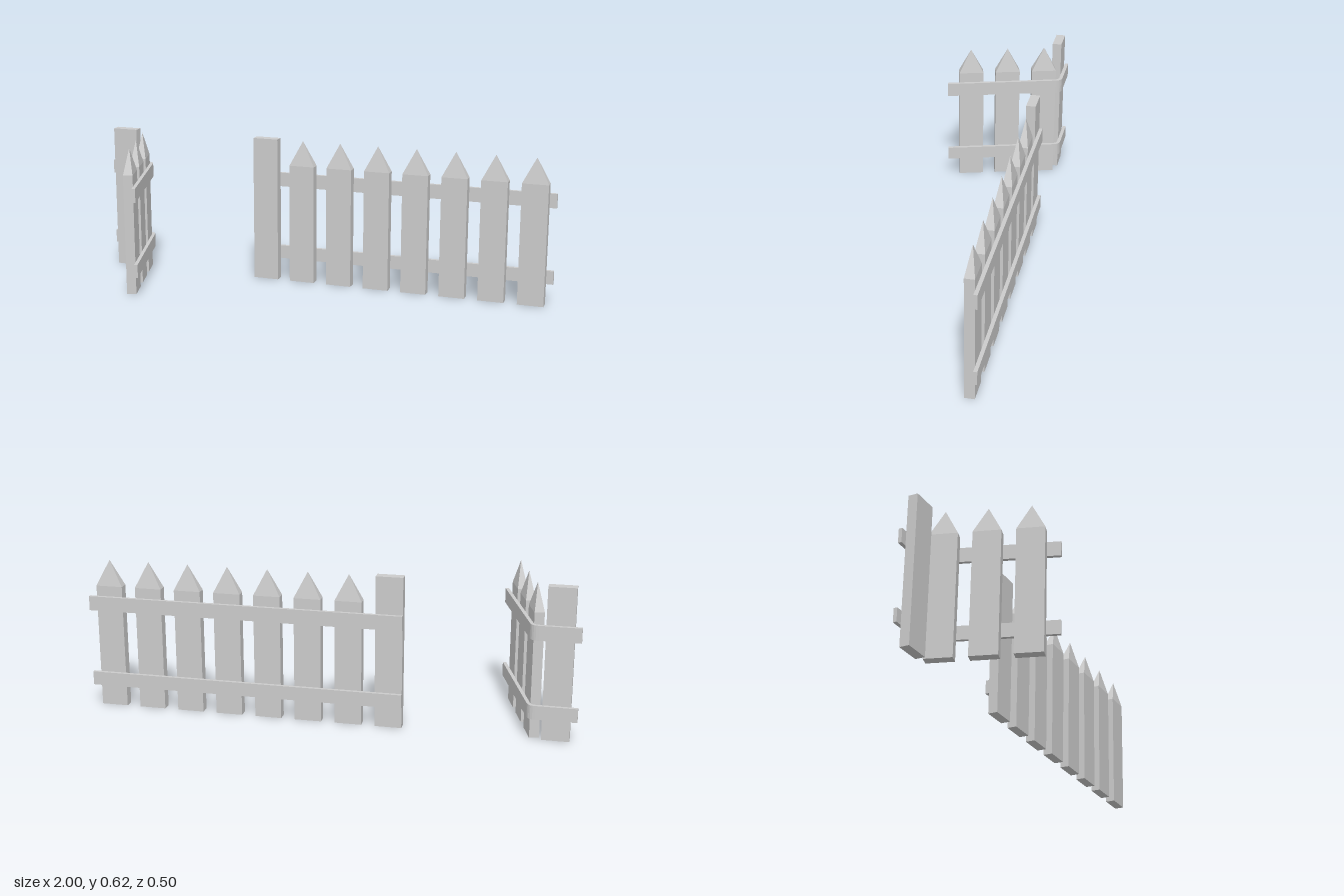
import * as THREE from 'three';
import { mergeGeometries } from 'three/addons/utils/BufferGeometryUtils.js';

const WIDTH = 0.11, DEPTH = 0.04, SHOULDER = 0.515, TIP = 0.622;
const POST_HEIGHT = 0.625, FENCE_Z = -0.215;
const RAILS = [[0.088, 0.145], [0.412, 0.472]]; // bottom and top of each rail

// Flat board with a four-sided pointed top, standing on y = 0
function picketGeometry() {
  const board = new THREE.BoxGeometry(WIDTH, SHOULDER, DEPTH);
  board.translate(0, SHOULDER / 2, 0);
  const point = new THREE.ConeGeometry(Math.SQRT1_2, TIP - SHOULDER, 4, 1, true);
  point.rotateY(Math.PI / 4);
  point.scale(WIDTH, 1, DEPTH);
  point.translate(0, (SHOULDER + TIP) / 2, 0);
  const geometry = mergeGeometries([board.toNonIndexed(), point.toNonIndexed()]);
  geometry.computeVertexNormals();
  return geometry;
}

export function createModel() {
  const material = new THREE.MeshStandardMaterial({ color: 0xcccccc, flatShading: true });
  const picket = picketGeometry();
  const post = new THREE.BoxGeometry(WIDTH, POST_HEIGHT, DEPTH);
  post.translate(0, POST_HEIGHT / 2, 0);

  const add = (parent, name, geometry, x = 0, y = 0, z = 0, turn = 0) => {
    const mesh = new THREE.Mesh(geometry, material);
    mesh.name = name;
    mesh.position.set(x, y, z);
    mesh.rotation.y = turn;
    parent.add(mesh);
  };

  // Long straight section
  const straight = new THREE.Group();
  straight.name = 'straightFence';
  add(straight, 'post', post, -0.25, 0, FENCE_Z);
  for (let i = 0; i < 7; i++) add(straight, 'picket', picket, -0.085 + i * 0.1668, 0, FENCE_Z);
  for (const [low, high] of RAILS) {
    add(straight, 'rail', new THREE.BoxGeometry(1.305, high - low, 0.015), 0.3475, (low + high) / 2, -0.2425);
  }

  // Short section with three pickets turned towards the front
  const bent = new THREE.Group();
  bent.name = 'bentFence';
  add(bent, 'post', post, -0.917, 0, FENCE_Z);
  const turn = -Math.atan2(0.159, 0.0475);
  for (let i = -1; i <= 1; i++) {
    add(bent, 'picket', picket, -0.77 + i * 0.0475, 0, -0.004 + i * 0.159, turn);
  }

  // Rail outline seen from above (shape y is -z), rounded at the corner
  const plan = new THREE.Shape();
  plan.moveTo(-1, 0.25);
  plan.lineTo(-0.835, 0.25);
  plan.quadraticCurveTo(-0.807, 0.25, -0.799, 0.223);
  plan.lineTo(-0.655, -0.248);
  plan.lineTo(-0.669, -0.252);
  plan.lineTo(-0.812, 0.218);
  plan.quadraticCurveTo(-0.817, 0.235, -0.835, 0.235);
  plan.lineTo(-1, 0.235);
  plan.closePath();
  for (const [low, high] of RAILS) {
    const rail = new THREE.ExtrudeGeometry(plan, { depth: high - low, bevelEnabled: false, curveSegments: 5 });
    rail.rotateX(-Math.PI / 2);
    add(bent, 'bentRail', rail, 0, low, 0);
  }

  const fence = new THREE.Group();
  fence.name = 'picketFence';
  fence.add(straight, bent);
  return fence;
}
